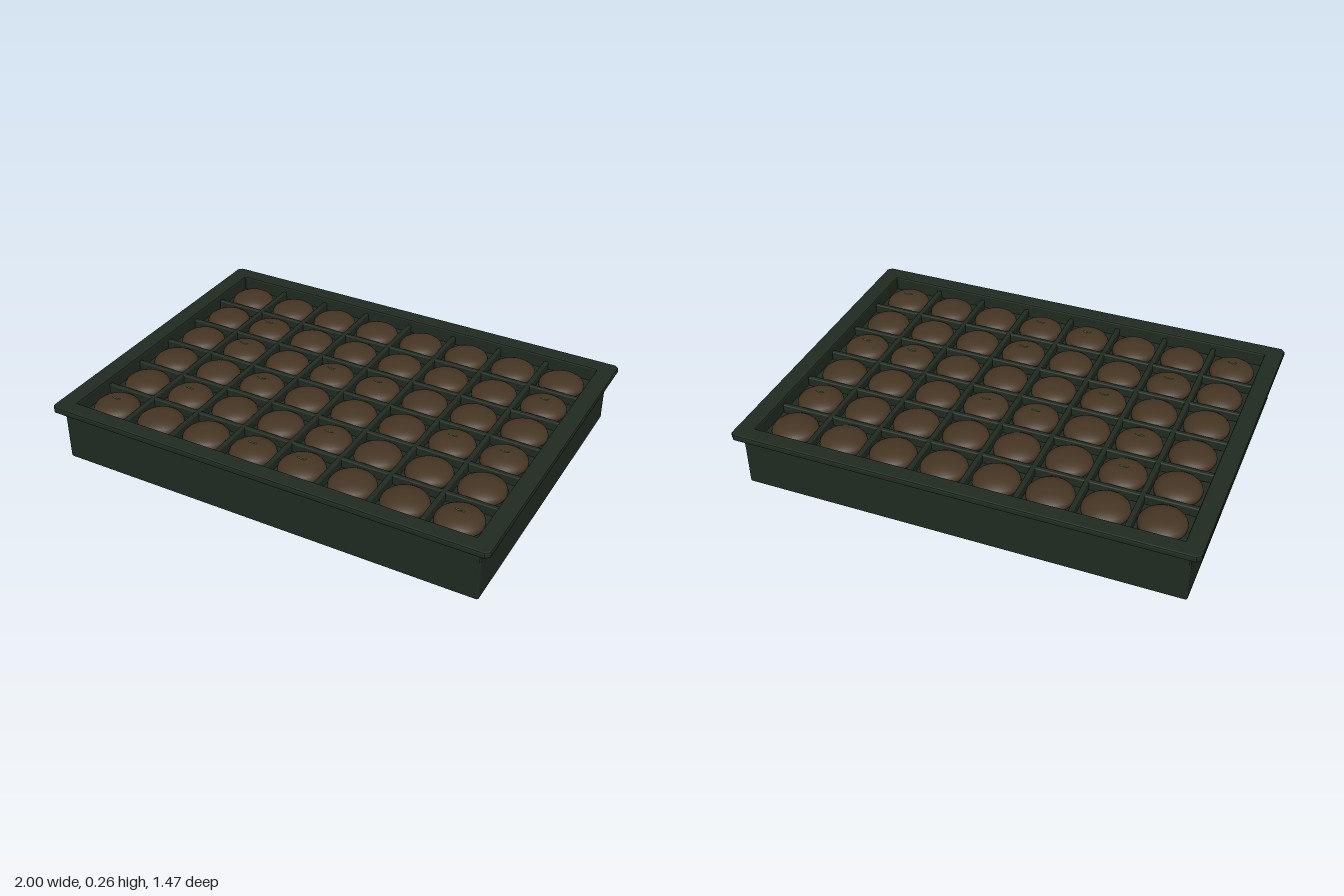
import * as THREE from 'three';
import { RoundedBoxGeometry } from 'three/addons/geometries/RoundedBoxGeometry.js';

const COLS = 8, ROWS = 6, PITCH_X = 0.229, PITCH_Z = 0.218;
const FLOOR = 0.2, DIVIDER_TOP = 0.24;
const HALF_X = 0.92, HALF_Z = 0.66;
// cells holding a seedling, as [column, row]
const SEEDLINGS = [[1, 1], [7, 1], [1, 2], [3, 2], [4, 2], [2, 3], [6, 3], [7, 3],
  [1, 4], [4, 4], [0, 5], [3, 5], [4, 5], [7, 5]];

// rectangle outline with small chamfered corners
function outline(shape, hx, hz, c) {
  shape.moveTo(-hx + c, -hz);
  shape.lineTo(hx - c, -hz);
  shape.lineTo(hx, -hz + c);
  shape.lineTo(hx, hz - c);
  shape.lineTo(hx - c, hz);
  shape.lineTo(-hx + c, hz);
  shape.lineTo(-hx, hz - c);
  shape.lineTo(-hx, -hz + c);
  shape.closePath();
  return shape;
}

// flat-lying frame from y0 to y1 with bevelled edges
function frame(hx, hz, y0, y1, chamfer, bevel) {
  const shape = outline(new THREE.Shape(), hx, hz, chamfer);
  shape.holes.push(outline(new THREE.Path(), HALF_X, HALF_Z, 0.002));
  const geo = new THREE.ExtrudeGeometry(shape, {
    depth: y1 - y0 - 2 * bevel, bevelEnabled: bevel > 0, bevelThickness: bevel,
    bevelSize: bevel, bevelOffset: -bevel, bevelSegments: 2,
  });
  return geo.rotateX(-Math.PI / 2).translate(0, y0 + bevel, 0);
}

export function createModel() {
  const model = new THREE.Group();
  const plastic = new THREE.MeshStandardMaterial({ name: 'dark green plastic', color: 0x202b21 });
  const soil = new THREE.MeshStandardMaterial({ name: 'brown soil', color: 0x463523 });
  const leaf = new THREE.MeshStandardMaterial({ name: 'leaf green', color: 0x5c9a3c });

  const add = (parent, name, geo, mat, x = 0, y = 0, z = 0) => {
    const mesh = new THREE.Mesh(geo, mat);
    mesh.name = name;
    mesh.position.set(x, y, z);
    parent.add(mesh);
    return mesh;
  };
  const group = (name) => {
    const g = new THREE.Group();
    g.name = name;
    model.add(g);
    return g;
  };

  // tray body, upper walls and overhanging rim
  add(model, 'trayBase', new RoundedBoxGeometry(1.916, FLOOR, 1.4, 2, 0.01), plastic, 0, FLOOR / 2, 0);
  add(model, 'trayWalls', frame(0.958, 0.7, 0.18, 0.245, 0.006, 0), plastic);
  add(model, 'trayRim', frame(1, 0.735, 0.236, 0.265, 0.018, 0.008), plastic);

  // dividers between the cells
  const dividers = group('cellDividers');
  const h = DIVIDER_TOP - FLOOR + 0.02, y = DIVIDER_TOP - h / 2;
  const lengthwise = new RoundedBoxGeometry(2 * HALF_X, h, 0.022, 2, 0.006);
  const crosswise = new RoundedBoxGeometry(0.022, h, 2 * HALF_Z, 2, 0.006);
  for (let i = 1; i < COLS; i++) {
    add(dividers, 'crossDivider', crosswise, plastic, (i - COLS / 2) * PITCH_X, y, 0);
  }
  for (let j = 1; j < ROWS; j++) {
    add(dividers, 'longDivider', lengthwise, plastic, 0, y, (j - ROWS / 2) * PITCH_Z);
  }

  // mound of soil in every cell
  const cellX = (i) => (i - (COLS - 1) / 2) * PITCH_X;
  const cellZ = (j) => (j - (ROWS - 1) / 2) * PITCH_Z;
  const mounds = group('soilMounds');
  const mound = new THREE.SphereGeometry(0.1, 24, 14).scale(1, 0.43, 1);
  for (let i = 0; i < COLS; i++) {
    for (let j = 0; j < ROWS; j++) {
      add(mounds, 'soilMound', mound, soil, cellX(i), 0.214, cellZ(j));
    }
  }

  // seedlings: short stem with two narrow leaves
  const seedlings = group('seedlings');
  const stem = new THREE.CylinderGeometry(0.0015, 0.002, 0.012, 6);
  const blade = new THREE.SphereGeometry(1, 8, 6).scale(0.011, 0.002, 0.004);
  for (const [i, j] of SEEDLINGS) {
    const sprout = new THREE.Group();
    sprout.name = 'seedling';
    sprout.position.set(cellX(i), 0.256, cellZ(j));
    add(sprout, 'stem', stem, leaf);
    for (const side of [-1, 1]) {
      add(sprout, 'leaf', blade, leaf, side * 0.011, 0.006, 0).rotation.z = side * 0.2;
    }
    seedlings.add(sprout);
  }
  return model;
}
